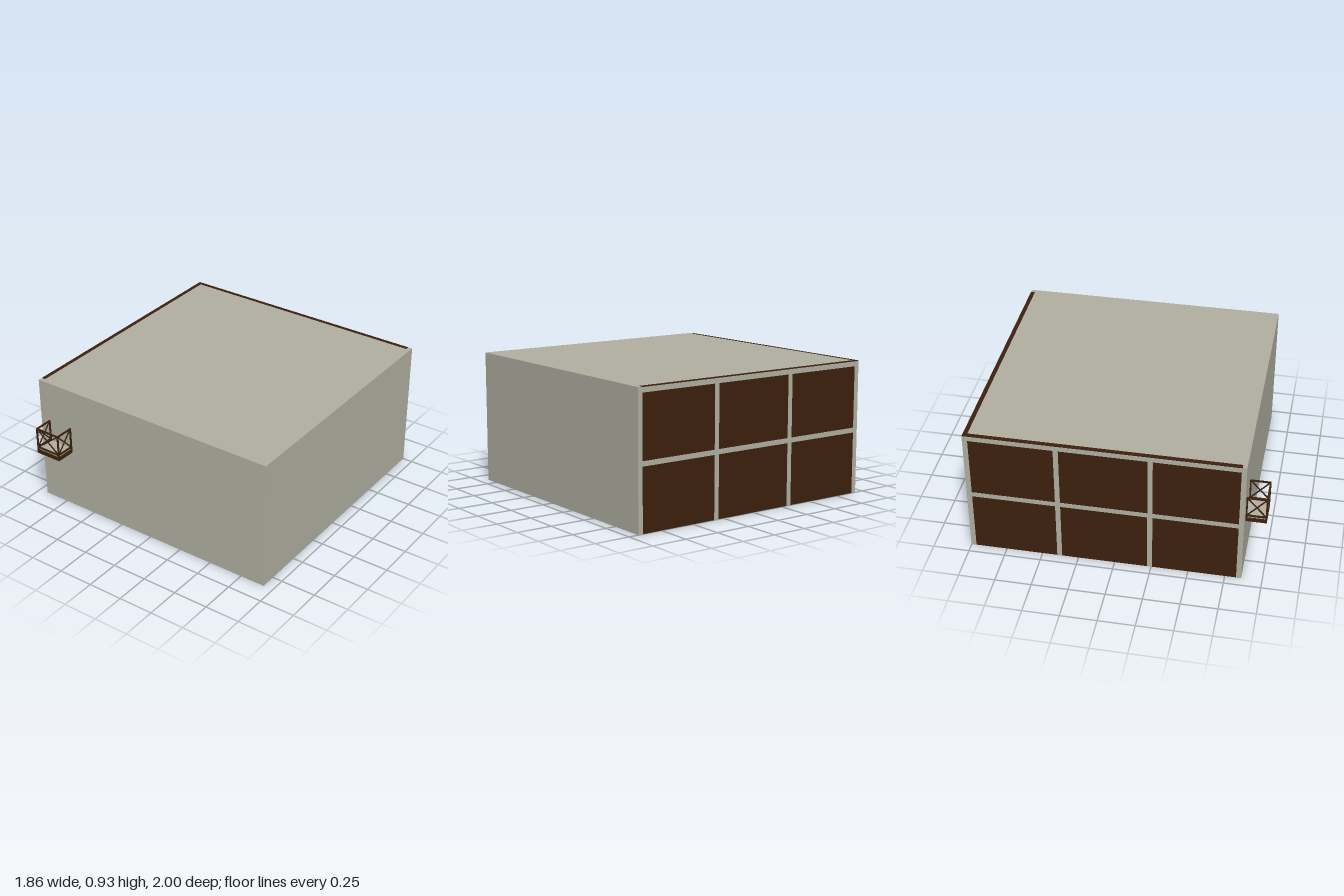
import * as THREE from 'three';

export function createModel() {
  const plaster = new THREE.MeshStandardMaterial({ name: 'grey plaster', color: 0xafaea0 });
  const wood = new THREE.MeshStandardMaterial({ name: 'dark brown wood', color: 0x3c200d });
  const model = new THREE.Group();
  model.name = 'building';

  // Box given by its lower and upper corners
  const box = (parent, name, mat, a, b) => {
    const m = new THREE.Mesh(new THREE.BoxGeometry(b[0] - a[0], b[1] - a[1], b[2] - a[2]), mat);
    m.position.set((a[0] + b[0]) / 2, (a[1] + b[1]) / 2, (a[2] + b[2]) / 2);
    m.name = name;
    parent.add(m);
    return m;
  };

  const W = 0.93, H = 0.93, T = 0.03, ZB = -1, ZF = 0.86, P = 0.002;

  // Shell, open underneath: plaster front, side and roof, wooden back and side
  box(model, 'roof', plaster, [-W + T, H - T, ZB + T], [W, H, ZF]);
  box(model, 'frontWall', plaster, [-W, 0, ZF - T], [W, H, ZF]);
  box(model, 'leftWall', plaster, [W - T, 0, ZB], [W, H, ZF - T]);
  box(model, 'rightWall', wood, [-W, 0, ZB], [-W + T, H, ZF - T]);
  box(model, 'backWall', wood, [-W + T, 0, ZB], [W - T, H, ZB + T]);

  // Beam grid on the two wooden walls
  const beams = new THREE.Group();
  beams.name = 'wallBeams';
  model.add(beams);
  const h = 0.017;
  for (const y of [H - h - 0.004, 0.447]) {
    box(beams, 'backRail', plaster, [-W, y - h, ZB - P], [W, y + h, ZB + P]);
    box(beams, 'sideRail', plaster, [-W - P, y - h, ZB], [-W + P, y + h, ZF]);
  }
  for (const x of [-W + h, -0.31, 0.31, W - h])
    box(beams, 'backUpright', plaster, [x - h, 0, ZB - P], [x + h, H - 0.004, ZB + P]);
  for (const z of [ZB + h, -0.38, 0.24, ZF - h])
    box(beams, 'sideUpright', plaster, [-W - P, 0, z - h], [-W + P, H - 0.004, z + h]);

  // Balcony floor
  const balcony = new THREE.Group();
  balcony.name = 'balcony';
  model.add(balcony);
  const x0 = -0.86, x1 = -0.665, z1 = 1, y0 = 0.48, y1 = 0.635, r = 0.01;
  box(balcony, 'balconyBase', wood, [x0, 0.44, ZF], [x1, 0.465, z1]);
  box(balcony, 'balconyFloor', plaster, [x0 + r, 0.465, ZF], [x1 - r, 0.472, z1 - r]);

  // One railing panel with rails, posts and a crossed brace, centred on its own origin
  const panel = (name, len) => {
    const g = new THREE.Group();
    g.name = name;
    const ht = y1 - y0, l = len / 2, t = r / 2;
    for (const y of [0, ht - r]) box(g, 'rail', wood, [-l, y, -t], [l, y + r, t]);
    for (const s of [-1, 1]) {
      box(g, 'post', wood, [s * (l - t) - t, -0.015, -t], [s * (l - t) + t, ht, t]);
      const d = Math.hypot(len - r, ht - r) / 2;
      const brace = box(g, 'brace', wood, [-d, -0.004, -0.003], [d, 0.004, 0.003]);
      brace.position.y = ht / 2;
      brace.rotation.z = s * Math.atan2(ht - r, len - r);
    }
    balcony.add(g);
    return g;
  };
  panel('frontRailing', x1 - x0).position.set((x0 + x1) / 2, y0, z1 - r / 2);
  for (const x of [x0 + r / 2, x1 - r / 2]) {
    const side = panel('sideRailing', z1 - ZF);
    side.position.set(x, y0, (ZF + z1) / 2);
    side.rotation.y = Math.PI / 2;
  }
  return model;
}
